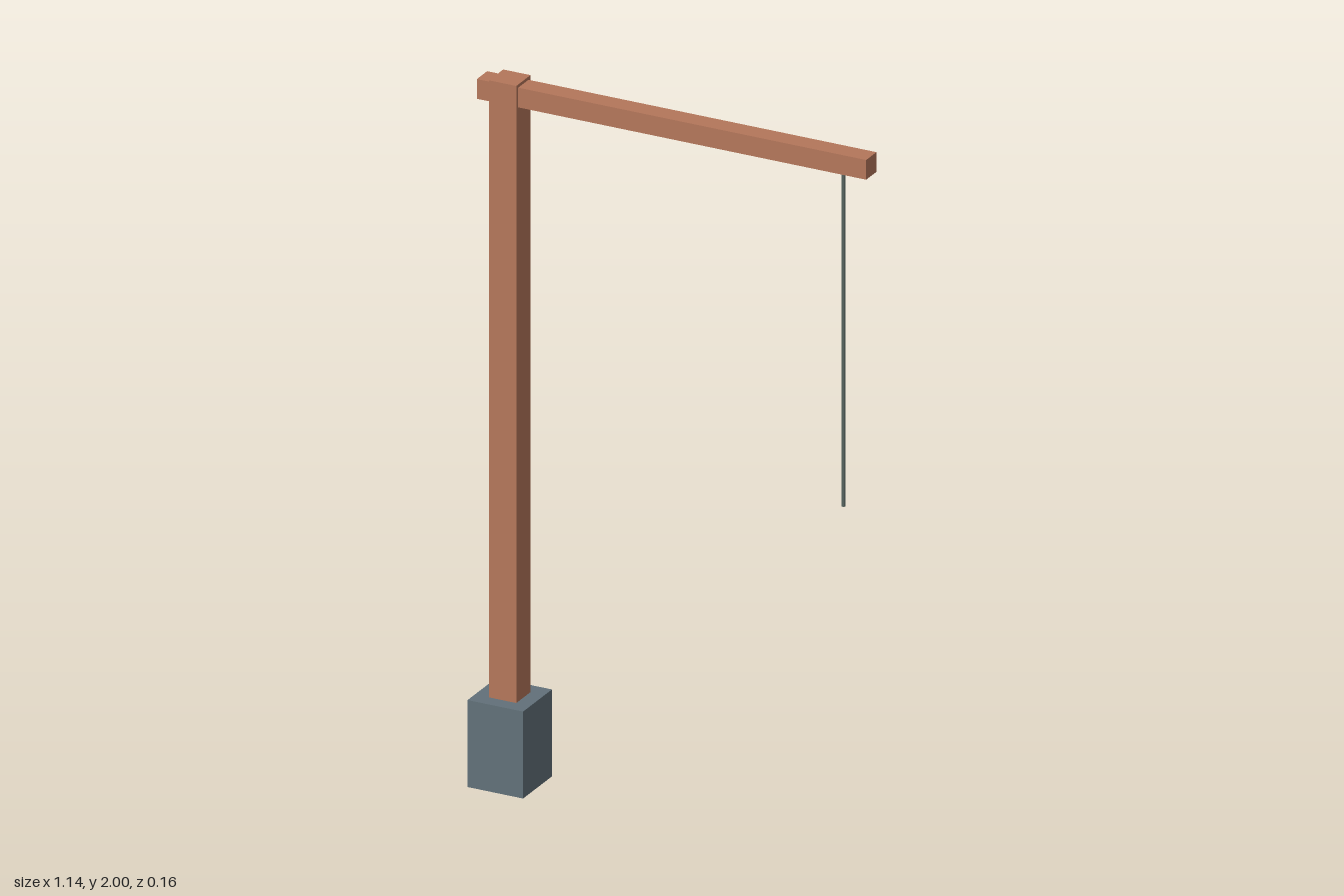
import * as THREE from 'three';

const wood = new THREE.MeshStandardMaterial({ color: 0xb5775b });
const stone = new THREE.MeshStandardMaterial({ color: 0x62717a });
const rope = new THREE.MeshStandardMaterial({ color: 0x56645f, flatShading: true });

const POST_X = -0.49;

export function createModel() {
  const model = new THREE.Group();
  model.name = 'hangingPost';

  const add = (name, geometry, material, x, y) => {
    const mesh = new THREE.Mesh(geometry, material);
    mesh.name = name;
    mesh.position.set(x, y, 0);
    model.add(mesh);
  };

  // Square footing block
  add('footing', new THREE.BoxGeometry(0.163, 0.247, 0.163), stone, POST_X, 0.1235);

  // Upright post, standing on the footing
  add('post', new THREE.BoxGeometry(0.08, 1.753, 0.08), wood, POST_X, 1.1235);

  // Cross beam, passing through the post just below its top
  add('beam', new THREE.BoxGeometry(1.143, 0.056, 0.058), wood, 0, 1.963);

  // Thin line hanging from the free end of the beam
  add('hangingLine', new THREE.CylinderGeometry(0.005, 0.005, 0.96, 8), rope, 0.49, 1.46);

  return model;
}
